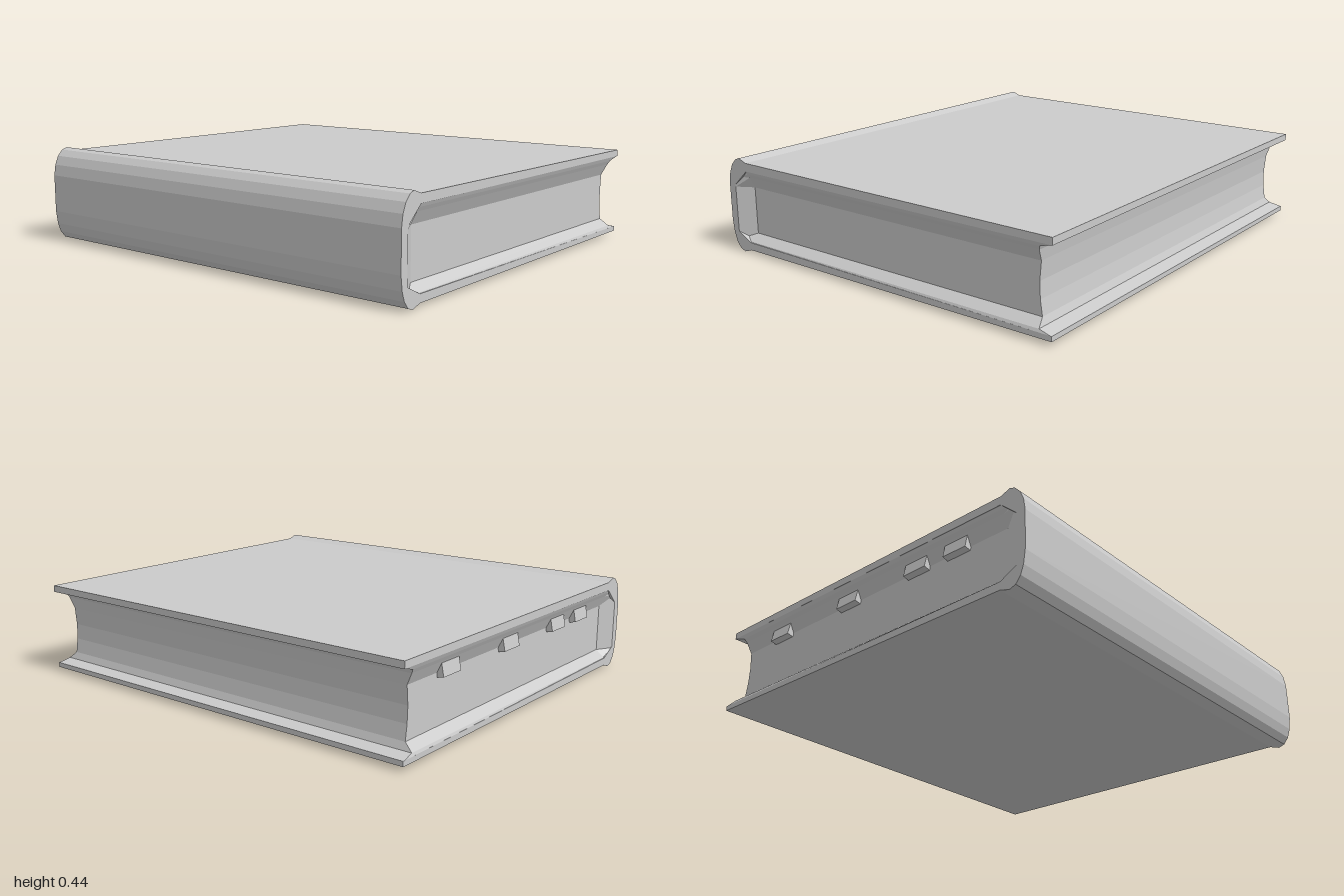
import * as THREE from 'three';

const grey = new THREE.MeshStandardMaterial({ color: 0xcccccc, flatShading: true });

function add(group, name, geometry) {
  const mesh = new THREE.Mesh(geometry, grey);
  mesh.name = name;
  group.add(mesh);
  return mesh;
}

// Boards and rounded spine: one C-shaped profile run along the height of the book
function coverGeometry() {
  const profile = [
    // outside, from the lower board round the spine to the upper board
    [0.89, 0.03], [-0.77, 0.025], [-0.815, 0.01], [-0.845, 0.02], [-0.868, 0.05],
    [-0.882, 0.09], [-0.89, 0.15], [-0.89, 0.32], [-0.882, 0.37], [-0.865, 0.41],
    [-0.84, 0.437], [-0.815, 0.446], [-0.77, 0.43], [0.89, 0.425],
    // inside
    [0.89, 0.395], [-0.77, 0.392], [-0.85, 0.32], [-0.85, 0.1], [-0.77, 0.06], [0.89, 0.052],
  ].map(([x, y]) => new THREE.Vector2(x, y));
  const geometry = new THREE.ExtrudeGeometry(new THREE.Shape(profile.reverse()), { depth: 2, bevelEnabled: false });
  return geometry.translate(0, 0, -1);
}

// Pages: horizontal rings that flare out to meet the boards and the spine
function pagesGeometry() {
  const levels = [ // y, fore-edge x, half length
    [0.052, 0.885, 1], [0.064, 0.83, 0.995], [0.095, 0.818, 0.957], [0.16, 0.808, 0.957],
    [0.23, 0.805, 0.957], [0.31, 0.812, 0.957], [0.36, 0.82, 0.982], [0.378, 0.828, 0.992],
    [0.395, 0.885, 1],
  ];
  const rings = levels.map(([y, x, z]) => [
    [x, y, z], [x, y, -z], [-0.77, y, -z], [-0.85, y, -1], [-0.85, y, 1], [-0.77, y, z],
  ]);
  const positions = [];
  for (let r = 0; r < rings.length - 1; r++) {
    for (let i = 0; i < 6; i++) {
      const j = (i + 1) % 6;
      const a = rings[r][i], b = rings[r][j], c = rings[r + 1][j], d = rings[r + 1][i];
      positions.push(...a, ...b, ...c, ...a, ...c, ...d);
    }
  }
  const geometry = new THREE.BufferGeometry();
  geometry.setAttribute('position', new THREE.Float32BufferAttribute(positions, 3));
  geometry.computeVertexNormals();
  return geometry;
}

export function createModel() {
  const book = new THREE.Group();
  book.name = 'book';
  add(book, 'cover', coverGeometry());
  add(book, 'pages', pagesGeometry());

  // Small tabs under the upper board at the back
  for (const x of [0.56, 0.11, -0.3, -0.52]) {
    const tab = add(book, 'pageTab', new THREE.BoxGeometry(0.12, 0.09, 0.03));
    tab.position.set(x, 0.338, -0.965);
    tab.rotation.x = 0.2;
  }
  return book;
}
